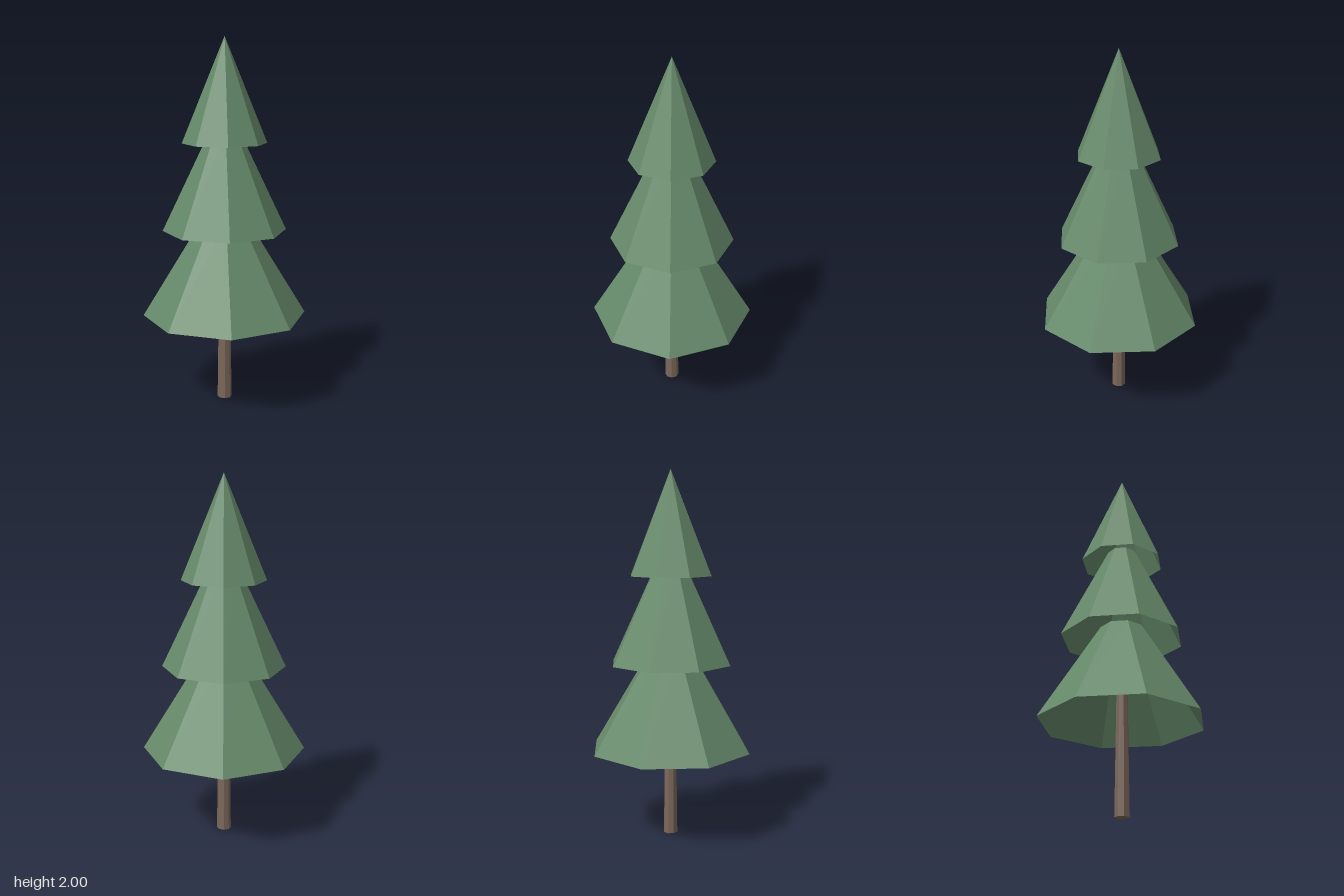
import * as THREE from 'three';

export function createModel() {
  const model = new THREE.Group();
  model.name = 'pineTree';

  const needleGreen = new THREE.MeshStandardMaterial({ color: 0x668a6a, flatShading: true, side: THREE.DoubleSide });
  needleGreen.name = 'needle green';
  const barkBrown = new THREE.MeshStandardMaterial({ color: 0x7c675a, flatShading: true });
  barkBrown.name = 'bark brown';

  // Eight-sided upright piece between two heights
  function addPiece(name, y0, y1, r0, r1, open, material) {
    const geometry = new THREE.CylinderGeometry(r1, r0, y1 - y0, 8, 1, open);
    const mesh = new THREE.Mesh(geometry, material);
    mesh.name = name;
    mesh.position.y = (y0 + y1) / 2;
    model.add(mesh);
  }

  // Tapered trunk reaching up inside the foliage
  addPiece('trunk', 0, 1.0, 0.04, 0.026, false, barkBrown);

  // Hollow foliage skirts, each tucked under the one above
  addPiece('lowerFoliage', 0.49, 1.03, 0.45, 0.12, true, needleGreen);
  addPiece('middleFoliage', 0.965, 1.505, 0.338, 0.08, true, needleGreen);

  // Pointed hollow crown
  const crown = new THREE.Mesh(new THREE.ConeGeometry(0.23, 0.56, 8, 1, true), needleGreen);
  crown.name = 'topFoliage';
  crown.position.y = 1.72;
  model.add(crown);

  return model;
}
